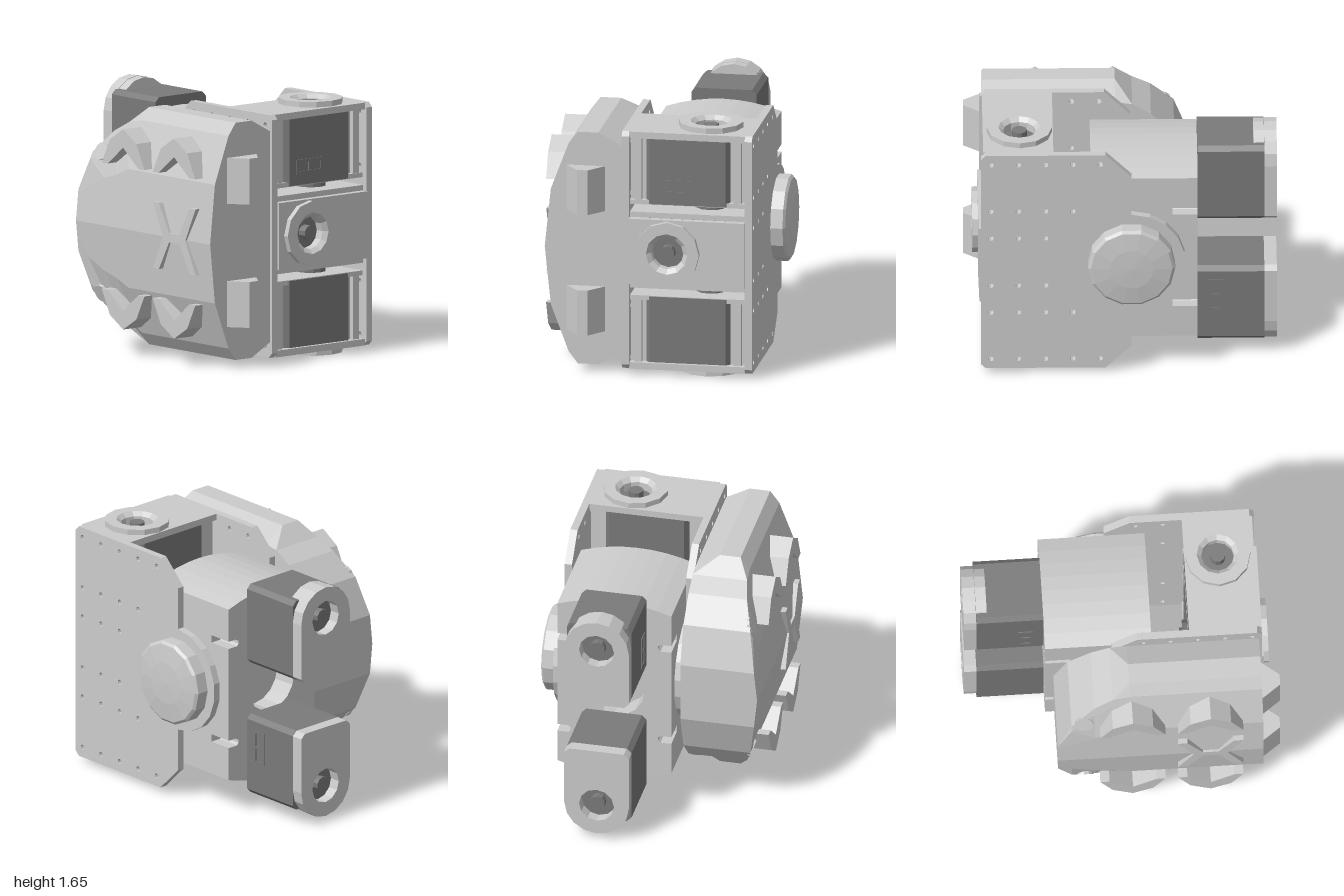
import * as THREE from 'three';

const light = new THREE.MeshStandardMaterial({ color: 0xcccccc, flatShading: true, side: THREE.DoubleSide });
const dark = new THREE.MeshStandardMaterial({ color: 0x7a7a7a, flatShading: true, side: THREE.DoubleSide });
const MID = 0.825;

function add(parent, name, geo, mat = light, x = 0, y = 0, z = 0) {
  const m = new THREE.Mesh(geo, mat);
  m.name = name;
  m.position.set(x, y, z);
  parent.add(m);
  return m;
}

const box = (w, h, d) => new THREE.BoxGeometry(w, h, d);

// holes: [x, y, radius, sides]
function extrude(points, depth, holes = []) {
  const s = new THREE.Shape(points.map(([a, b]) => new THREE.Vector2(a, b)));
  for (const [x, y, r, n = 12] of holes) {
    const ring = [];
    for (let i = 0; i < n; i++) {
      const a = -i / n * Math.PI * 2;
      ring.push(new THREE.Vector2(x + r * Math.cos(a), y + r * Math.sin(a)));
    }
    s.holes.push(new THREE.Path(ring));
  }
  return new THREE.ExtrudeGeometry(s, { depth, bevelEnabled: false });
}

// Outline in (z, y), thickness along +x
const extrudeX = (pts, depth, holes = []) =>
  extrude(pts.map(([z, y]) => [-z, y]), depth, holes.map(([z, y, r, n]) => [-z, y, r, n])).rotateY(Math.PI / 2);
// Outline in (x, z), thickness along +y
const extrudeY = (pts, depth, holes = []) =>
  extrude(pts.map(([x, z]) => [x, -z]), depth, holes.map(([x, z, r, n]) => [x, -z, r, n])).rotateX(-Math.PI / 2);

const rect = (x0, y0, x1, y1) => [[x0, y0], [x1, y0], [x1, y1], [x0, y1]];
function chamfered(x0, y0, x1, y1, c) {
  return [[x0 + c, y0], [x1 - c, y0], [x1, y0 + c], [x1, y1 - c], [x1 - c, y1], [x0 + c, y1], [x0, y1 - c], [x0, y0 + c]];
}

// Raised ring with a bolt in a deep socket, facing local +y
function hub(parent, name) {
  const g = new THREE.Group();
  g.name = name;
  const ring = [[0.105, -0.02], [0.105, 0.01], [0.135, 0.036], [0.21, 0.036], [0.21, 0]].map(p => new THREE.Vector2(...p));
  add(g, 'hubRing', new THREE.LatheGeometry(ring, 12));
  add(g, 'hubBolt', new THREE.CylinderGeometry(0.048, 0.048, 0.06, 10), dark, 0, -0.015, 0);
  parent.add(g);
  return g;
}

// Two-window connector socket facing local +z
function port(parent) {
  const g = new THREE.Group();
  g.name = 'connectorPort';
  const s = new THREE.Shape(rect(-0.11, -0.048, 0.11, 0.048).map(p => new THREE.Vector2(...p)));
  for (const x of [-0.095, 0.008])
    s.holes.push(new THREE.Path(rect(x, -0.028, x + 0.087, 0.028).map(p => new THREE.Vector2(...p)).reverse()));
  add(g, 'portFrame', new THREE.ExtrudeGeometry(s, { depth: 0.006, bevelEnabled: false }), dark);
  parent.add(g);
  return g;
}

// Rear servo: dark body, rounded end cap, recessed bolt; origin on the bolt axis
function rearServo(name) {
  const g = new THREE.Group();
  g.name = name;
  add(g, 'servoBody', extrude(chamfered(-0.2125, -0.4, 0.2125, 0.14, 0.03), 0.43), dark, 0, 0, -0.92);
  const cap = [[-0.18, -0.4], [0.18, -0.4], [0.2125, -0.37]];
  for (let i = 0; i <= 8; i++) {
    const a = i / 8 * Math.PI;
    cap.push([0.2125 * Math.cos(a), 0.21 * Math.sin(a)]);
  }
  cap.push([-0.2125, -0.37]);
  add(g, 'endCap', extrude(cap, 0.08, [[0, 0, 0.115]]), light, 0, 0, -1);
  add(g, 'capTongue', new THREE.CylinderGeometry(0.208, 0.208, 0.068, 16).rotateX(Math.PI / 2), light, 0, 0, -0.884);
  add(g, 'socketFloor', new THREE.CylinderGeometry(0.114, 0.114, 0.01, 12).rotateX(Math.PI / 2), dark, 0, 0, -0.923);
  add(g, 'capBolt', new THREE.CylinderGeometry(0.05, 0.05, 0.05, 10).rotateX(Math.PI / 2), dark, 0, 0, -0.95);
  add(g, 'servoNeck', new THREE.CylinderGeometry(0.07, 0.07, 0.04, 12).rotateX(Math.PI / 2), dark, 0, 0, -0.495);
  const p = port(g);
  p.rotation.set(0, -Math.PI / 2, Math.PI / 2, 'YXZ');
  p.position.set(-0.2125, -0.2, -0.605);
  return g;
}

// Faceted shoulder shell: front outline lofted to a shrinking rear
function shellGeometry() {
  const outer = [[0, -0.73], [0.385, -0.69], [0.69, -0.575], [0.77, -0.515]];
  const xAt = d => {
    let i = 1;
    while (i < 3 && d > outer[i][0]) i++;
    const [d0, x0] = outer[i - 1], [d1, x1] = outer[i];
    return x0 + (x1 - x0) * (d - d0) / (d1 - d0);
  };
  const sections = [[0.88, 0.77], [0.03, 0.77], [-0.08, 0.67], [-0.2, 0.6], [-0.35, 0.45], [-0.44, 0.2]];
  const pos = [], idx = [], N = 11;
  for (const [z, h] of sections) {
    const e = Math.min(0.685, h), ring = [[-0.225, -e], [-0.225, e], [-0.38, h]];
    for (const d of [0.77, 0.69, 0.385, 0, -0.385, -0.69, -0.77]) {
      const dy = d * h / 0.77;
      ring.push([xAt(Math.abs(dy)), dy]);
    }
    ring.push([-0.38, -h]);
    for (const [x, y] of ring) pos.push(x, MID + y, z);
  }
  const last = (sections.length - 1) * N;
  for (let i = 0; i < last; i += N)
    for (let j = 0; j < N; j++) {
      const a = i + j, b = i + (j + 1) % N;
      idx.push(a, a + N, b, b, a + N, b + N);
    }
  for (let k = 1; k < N - 1; k++) idx.push(0, k, k + 1, last, last + k + 1, last + k);
  const g = new THREE.BufferGeometry();
  g.setAttribute('position', new THREE.Float32BufferAttribute(pos, 3));
  g.setIndex(idx);
  const flat = g.toNonIndexed();
  flat.computeVertexNormals();
  return flat;
}

export function createModel() {
  const root = new THREE.Group();
  root.name = 'servoShoulder';

  // Side plates with a round lobe at the pivot and rows of screw holes
  const outline = [[-0.065, 0.2], [0.1, 0.037], [0.87, 0.037], [0.9, 0.067], [0.9, 1.583], [0.87, 1.613], [0.1, 1.613], [-0.065, 1.45]];
  for (let i = 0; i <= 9; i++) {
    const a = Math.PI / 2 - i / 9 * Math.PI;
    outline.push([-0.065 - 0.345 * Math.cos(a), MID + 0.345 * Math.sin(a)]);
  }
  const screws = [];
  [[1.545, 5], [1.2, 4], [1.0, 3], [0.65, 3], [0.45, 4], [0.105, 5]].forEach(([y, n]) => {
    for (let i = 0; i < n; i++) screws.push([0.835 - i * 0.175, y, 0.018, 8]);
  });
  for (const [name, x] of [['leftPlate', 0.573], ['rightPlate', -0.226]])
    add(root, name, extrudeX(outline, 0.048, screws), light, x);

  // Domed pivot cap
  const dome = [[0.28, 0], [0.28, 0.08], [0.262, 0.095], [0.14, 0.11], [0, 0.115]].map(p => new THREE.Vector2(...p));
  add(root, 'pivotCap', new THREE.LatheGeometry(dome, 14).rotateZ(-Math.PI / 2), light, 0.621, MID, -0.065);

  // Top and bottom: plate, hub, servo, shelf and corner brackets
  for (const [label, s] of [['upper', 1], ['lower', -1]]) {
    const y = h => MID + s * h;
    add(root, label + 'Plate', extrudeY(rect(-0.18, 0.435, 0.573, 0.885), 0.043, [[0.315, 0.65, 0.105]]), light, 0, y(0.7665) - 0.0215);
    const h = hub(root, label + 'Hub');
    h.position.set(0.315, y(0.788), 0.65);
    if (s < 0) h.rotation.x = Math.PI;
    add(root, label + 'Servo', extrudeY(chamfered(-0.075, 0.44, 0.47, 0.87, 0.025), 0.435), dark, 0, y(0.525) - 0.2175);
    add(root, label + 'ServoHorn', new THREE.CylinderGeometry(0.1, 0.1, 0.06, 12), dark, 0.315, y(0.28), 0.65);
    add(root, label + 'Shelf', box(0.75, 0.035, 0.43), light, 0.197, y(0.235), 0.655);
    add(root, label + 'Ledge', box(0.75, 0.03, 0.42), light, 0.197, y(0.318), 0.655);
    for (const x of [-0.127, 0.52]) {
      add(root, label + 'Bracket', box(0.1, 0.43, 0.36), light, x, y(0.53), 0.65);
      add(root, label + 'BracketRib', box(0.05, 0.43, 0.04), light, x, y(0.53), 0.84);
    }
  }
  port(root).position.set(0.115, 1.25, 0.87);

  // Centre bay between the two front servos
  add(root, 'centrePlate', extrude(rect(-0.18, 0.607, 0.573, 1.042), 0.045, [[0.075, MID, 0.105]]), light, 0, 0, 0.87);
  add(root, 'centreServo', box(0.545, 0.43, 0.43), dark, 0.197, MID, 0.654);
  for (const x of [-0.127, 0.52]) add(root, 'centreBracket', box(0.1, 0.42, 0.42), light, x, MID, 0.66);
  const front = hub(root, 'centreHub');
  front.position.set(0.075, MID, 0.915);
  front.rotation.x = Math.PI / 2;
  for (const [r, z] of [[0.1, 0.43], [0.05, 0.41]])
    add(root, 'rearHorn', new THREE.CylinderGeometry(r, r, 0.04, 12).rotateX(Math.PI / 2), dark, 0.075, MID, z);

  // Arched block on the pivot; its rear has slots and a round opening
  const arch = notch => {
    const half = [];
    for (let i = 0; i <= 8; i++) {
      const t = i / 4 - 1;
      half.push([0.197 - t * 0.375, 0.65 - 0.065 * t * t]);
    }
    if (notch) {
      half.unshift([0.572, 0.315], [0.5, 0.315], [0.485, 0.33], [0.485, 0.35], [0.5, 0.365], [0.572, 0.365]);
      half.push([-0.178, 0.365], [-0.106, 0.365], [-0.091, 0.35], [-0.091, 0.33], [-0.106, 0.315], [-0.178, 0.315]);
    }
    return [...half.map(([x, d]) => [x, MID + d]), ...half.map(([x, d]) => [0.394 - x, MID - d])];
  };
  add(root, 'pivotBlock', extrude(arch(false), 0.525), light, 0, 0, -0.33);
  add(root, 'pivotBlockRear', extrude(arch(true), 0.16, [[0.2, MID, 0.2, 16]]), light, 0, 0, -0.49);

  // Rear servos, the lower one turned half a turn
  const up = rearServo('upperRearServo'), down = rearServo('lowerRearServo');
  up.position.set(0.198, 1.4, 0);
  down.position.set(0.198, 0.25, 0);
  down.rotation.z = Math.PI;
  root.add(up, down);

  // Shoulder shell with front lugs, chevrons, corner sockets and centre trim
  const shell = new THREE.Group();
  shell.name = 'shoulderShell';
  root.add(shell);
  add(shell, 'shellBody', shellGeometry());
  for (const s of [1, -1]) {
    add(shell, 'frontLug', extrudeY([[-0.595, 0.87], [-0.33, 0.87], [-0.43, 1], [-0.5, 1]], 0.298), light, 0, MID + s * 0.4 - 0.149);
    for (const z of [0.04, 0.54]) {
      const y = d => MID + s * d;
      const chevron = [[z, y(0.65)], [z + 0.13, y(0.57)], [z + 0.21, y(0.41)], [z + 0.15, y(0.41)], [z, y(0.53)], [z - 0.15, y(0.41)], [z - 0.21, y(0.41)], [z - 0.13, y(0.57)]];
      add(shell, 'chevron', extrudeX(chevron, 0.16), light, -0.744);
    }
    const socket = add(shell, 'cornerSocket', new THREE.CylinderGeometry(0.06, 0.06, 0.02, 12), light, -0.655, MID + s * 0.46, -0.27);
    socket.rotation.z = Math.PI / 2 - s * 0.36;
  }
  const trim = [[0.33, 0.215], [0.39, 0.215], [0.49, 0.03], [0.59, 0.03], [0.69, 0.215], [0.75, 0.215], [0.65, 0], [0.75, -0.215],
    [0.69, -0.215], [0.59, -0.03], [0.49, -0.03], [0.39, -0.215], [0.33, -0.215], [0.43, 0]];
  add(shell, 'centreTrim', extrudeX(trim.map(([z, d]) => [z, MID + d]), 0.06), light, -0.742);

  return root;
}
